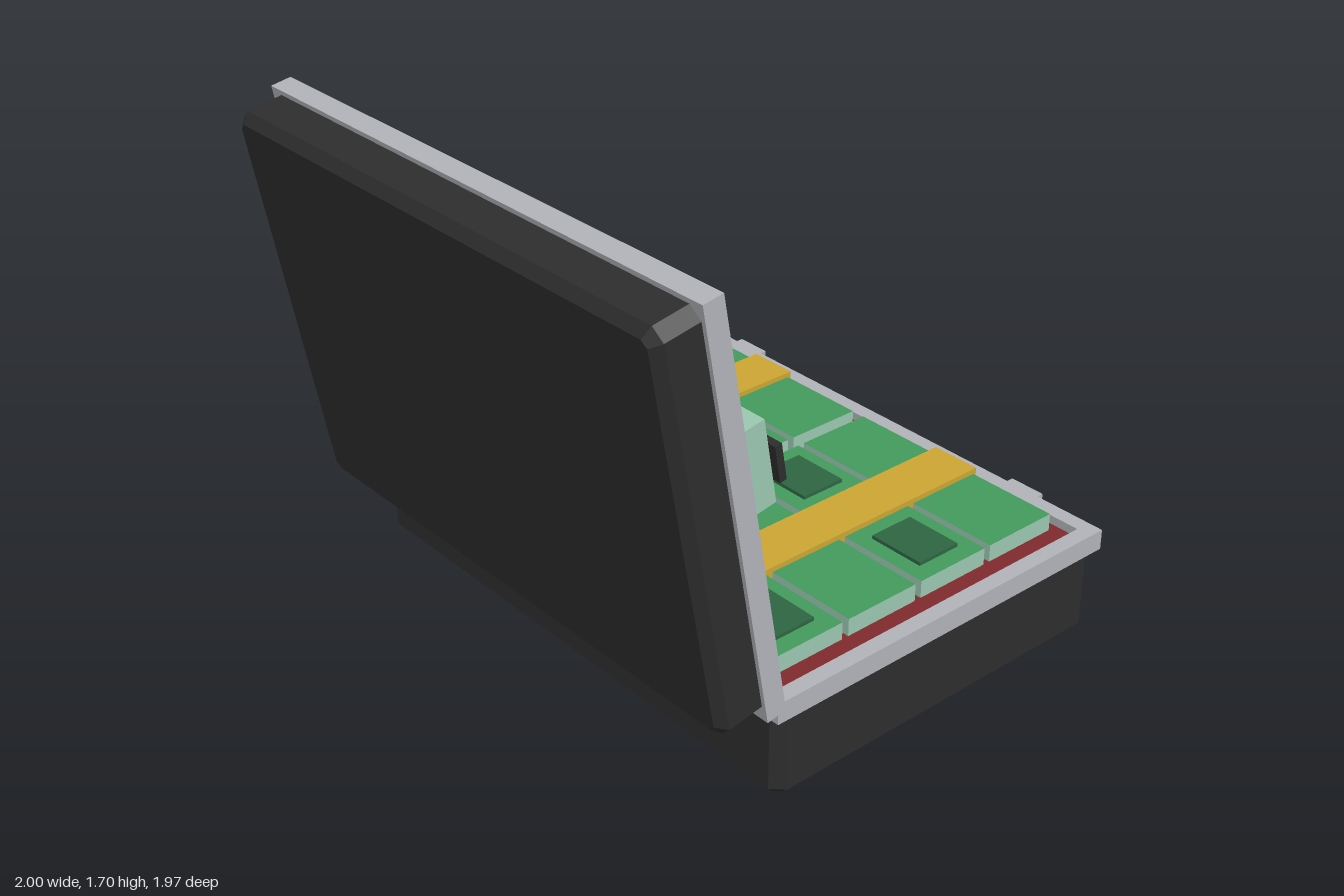
import * as THREE from 'three';

const mat = (name, color) => {
  const m = new THREE.MeshStandardMaterial({ color });
  m.name = name;
  return m;
};

export function createModel() {
  const black = mat('black', 0x2d2d2d);
  const metal = mat('grey metal', 0xb0b2b8);
  const red = mat('red lining', 0x7f2a2c);
  const green = mat('note green', 0x449a5c);
  const paleGreen = mat('paper edge green', 0x9ac6b0);
  const darkGreen = mat('dark green', 0x2d6541);
  const gold = mat('gold band', 0xcca633);

  const W = 2, L = 1.388, RIM = 0.07, WALL = 0.055, RECESS = 0.03;
  const SHELL_W = 1.97, SHELL_L = 1.356, BEVEL = 0.03;
  const TILT = THREE.MathUtils.degToRad(10);

  const add = (parent, name, geo, material, x = 0, y = 0, z = 0) => {
    const m = new THREE.Mesh(geo, material);
    m.name = name;
    m.position.set(x, y, z);
    parent.add(m);
    return m;
  };
  const box = (w, h, d) => new THREE.BoxGeometry(w, h, d);
  const polygon = (pts) => new THREE.Shape(pts.map(([x, y]) => new THREE.Vector2(x, y)));
  const rect = (w, h) => [[-w / 2, -h / 2], [w / 2, -h / 2], [w / 2, h / 2], [-w / 2, h / 2]];

  // One half of the case, opening towards -z, centred on x and y; the rim starts at z = 0
  function caseHalf(name, depth) {
    const half = new THREE.Group();
    half.name = name;
    const a = SHELL_W / 2 - BEVEL, b = SHELL_L / 2 - BEVEL, c = 0.02;
    const outline = polygon([[-a + c, -b], [a - c, -b], [a, -b + c], [a, b - c],
      [a - c, b], [-a + c, b], [-a, b - c], [-a, -b + c]]);
    const start = RECESS + 0.01;
    const shell = new THREE.ExtrudeGeometry(outline, {
      depth: depth - start - 2 * BEVEL, bevelSize: BEVEL, bevelThickness: BEVEL, bevelSegments: 1,
    });
    add(half, name + 'Shell', shell, black, 0, 0, start + BEVEL);

    const frame = polygon(rect(W, L));
    frame.holes.push(new THREE.Path(
      rect(W - 2 * WALL, L - 2 * WALL).reverse().map(([x, y]) => new THREE.Vector2(x, y))));
    add(half, name + 'Rim', new THREE.ExtrudeGeometry(frame, { depth: RIM, bevelEnabled: false }), metal);
    add(half, name + 'Lining', box(W - 2 * WALL, L - 2 * WALL, 0.02), red, 0, 0, RECESS + 0.01);
    return half;
  }

  // A banded stack of notes standing on y = 0
  function bundle(height, patches) {
    const g = new THREE.Group();
    g.name = 'noteBundle';
    add(g, 'noteStack', box(0.837, height, 0.28),
      [paleGreen, paleGreen, green, paleGreen, paleGreen, paleGreen], 0, height / 2);
    add(g, 'paperBand', box(0.18, height + 0.018, 0.305), gold, 0, (height + 0.018) / 2);
    if (patches) for (const s of [-1, 1]) {
      add(g, 'notePatch', box(0.204, 0.012, 0.167), darkGreen, s * 0.255, height + 0.006);
    }
    return g;
  }

  const model = new THREE.Group();
  model.name = 'openBriefcase';

  // Base half, opening upwards
  const base = caseHalf('base', 0.365);
  base.rotation.x = Math.PI / 2;
  base.position.set(0, 0.365, -0.126);
  model.add(base);

  // Four rows of bundles in the base
  const floorY = 0.365 - RECESS;
  for (let row = 0; row < 4; row++) for (const x of [-0.445, 0.442]) {
    const b = bundle(0.06, row % 2 === 1);
    b.position.set(x, floorY, -0.59 + row * 0.305);
    model.add(b);
  }

  // Lid, leaning back from the hinge edge
  const lid = new THREE.Group();
  lid.name = 'lid';
  lid.position.set(0, 0.334, 0.5385);
  lid.rotation.x = TILT;
  const lidHalf = caseHalf('lid', 0.221);
  lidHalf.position.y = L / 2;
  lid.add(lidHalf);
  for (const x of [-0.445, 0.442]) {
    const b = bundle(0.208, false);
    b.rotation.x = -Math.PI / 2;
    b.position.set(x, 0.7, RECESS);
    lid.add(b);
  }
  add(lid, 'lidStrap', box(1.77, 0.122, 0.025), black, 0, 0.695, -0.193);
  model.add(lid);

  // Latches and handle mounts on the -z side
  for (const s of [-1, 1]) {
    add(model, 'latch', box(0.13, 0.125, 0.05), metal, s * 0.665, 0.3, -0.823);
    add(model, 'handleMount', box(0.105, 0.1, 0.055), metal, s * 0.267, 0.21, -0.8195);
  }

  // Carrying handle: a bevelled trapezoid loop
  const e = 0.015;
  const grip = polygon([[-0.29 + e, 0], [-0.235 - e, 0], [-0.207 - e, 0.088 + e], [0.207 + e, 0.088 + e],
    [0.235 + e, 0], [0.29 - e, 0], [0.25 - e, 0.147 - e], [-0.25 + e, 0.147 - e]]);
  const gripGeo = new THREE.ExtrudeGeometry(grip, {
    depth: 0.05, bevelSize: e, bevelThickness: 0.02, bevelSegments: 1,
  });
  gripGeo.rotateX(-Math.PI / 2);
  add(model, 'handle', gripGeo, black, 0, 0.184, -0.838);

  return model;
}
